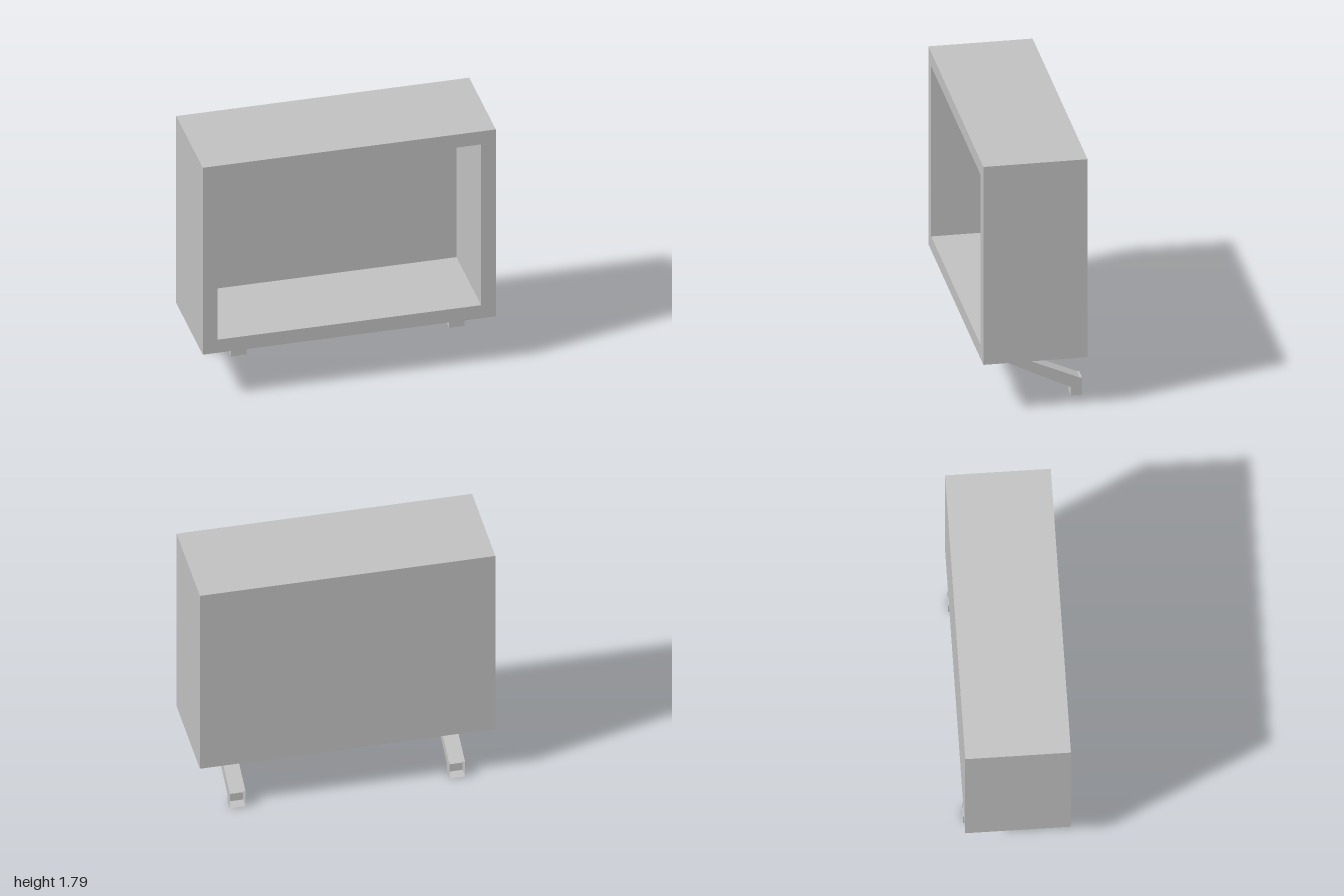
import * as THREE from 'three';

const grey = new THREE.MeshStandardMaterial({ color: 0xc0c0c0, side: THREE.DoubleSide });
grey.name = 'plain grey';

function addMesh(parent, name, geometry) {
  const mesh = new THREE.Mesh(geometry, grey);
  mesh.name = name;
  parent.add(mesh);
  return mesh;
}

function rectangle(PathType, x, y0, y1) {
  return new PathType([[-x, y0], [x, y0], [x, y1], [-x, y1]].map(p => new THREE.Vector2(...p)));
}

// Side profile of a leg as [z, y]; the last edge, at the rear, stays open
const legProfile = [
  [-0.35, 0.125], [-0.335, 0.125], [0.2, 0.36], [0.31, 0.36],
  [0.31, 0.295], [0.2, 0.295], [-0.275, 0.06], [-0.275, 0], [-0.35, 0],
];

// Folded sheet that runs round the profile between the two cheeks
function legStrip(half) {
  const pos = [];
  for (let i = 0; i < legProfile.length - 1; i++) {
    const [z0, y0] = legProfile[i], [z1, y1] = legProfile[i + 1];
    const a = [-half, y0, z0], b = [-half, y1, z1], c = [half, y1, z1], d = [half, y0, z0];
    pos.push(...a, ...b, ...c, ...a, ...c, ...d);
  }
  const geometry = new THREE.BufferGeometry();
  geometry.setAttribute('position', new THREE.Float32BufferAttribute(pos, 3));
  geometry.computeVertexNormals();
  return geometry;
}

function makeLeg(name, x) {
  const leg = new THREE.Group();
  leg.name = name;
  const half = 0.053;
  addMesh(leg, 'legStrip', legStrip(half));
  // Turning by a quarter about y maps the shape's x to z
  for (const side of [-1, 1]) {
    const shape = new THREE.Shape(legProfile.map(([z, y]) => new THREE.Vector2(side * -z, y)));
    const cheek = addMesh(leg, 'legCheek', new THREE.ShapeGeometry(shape));
    cheek.rotation.y = side * Math.PI / 2;
    cheek.position.x = side * half;
  }
  leg.position.x = x;
  return leg;
}

export function createModel() {
  const model = new THREE.Group();
  model.name = 'openCabinet';

  // Cabinet walls with a front opening
  const outline = rectangle(THREE.Shape, 1, 0.36, 1.79);
  outline.holes.push(rectangle(THREE.Path, 0.9, 0.46, 1.69));
  const walls = new THREE.ExtrudeGeometry(outline, { depth: 0.65, bevelEnabled: false });
  addMesh(model, 'cabinetWalls', walls.translate(0, 0, -0.3));

  // Back panel
  const back = new THREE.BoxGeometry(2, 1.43, 0.05);
  addMesh(model, 'backPanel', back.translate(0, 1.075, -0.325));

  // Pair of slanted legs
  model.add(makeLeg('leftLeg', 0.743), makeLeg('rightLeg', -0.743));
  return model;
}
